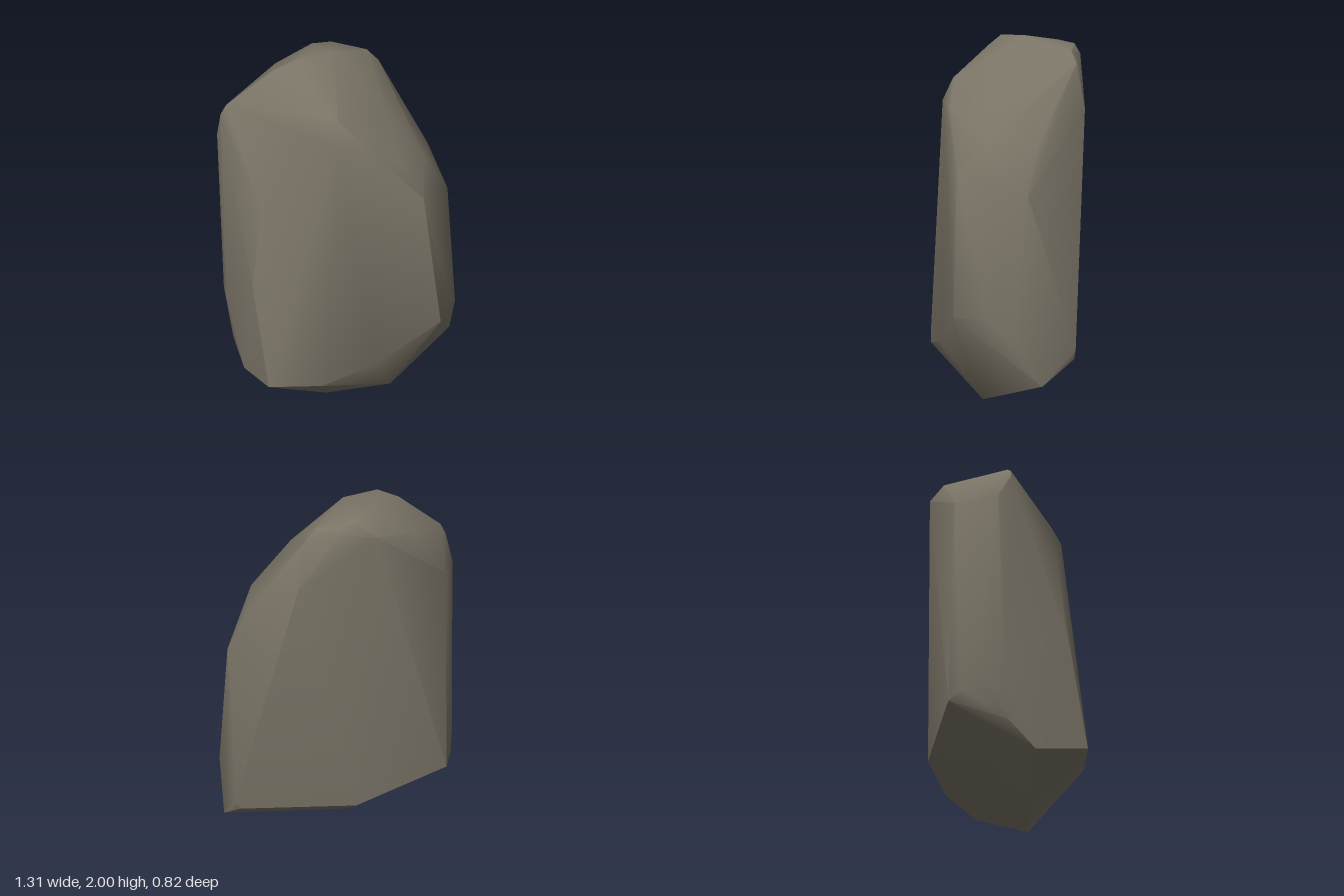
import * as THREE from 'three';
import { ConvexGeometry } from 'three/addons/geometries/ConvexGeometry.js';
import { toCreasedNormals } from 'three/addons/utils/BufferGeometryUtils.js';

// Corner points of the boulder, grouped by region
const base = [
  [-0.14, 0, 0.13], [0.23, 0.05, 0.2], [0.655, 0.235, -0.02], [-0.6, 0.22, 0.08],
  [-0.56, 0.455, -0.34], [0, 0.34, -0.372], [0.61, 0.355, -0.2], [0.635, 0.415, -0.2],
  [-0.635, 0.35, -0.06],
];
const front = [
  [-0.51, 0.27, 0.36], [-0.22, 0.26, 0.407], [0.08, 0.35, 0.407], [0.45, 0.57, 0.4],
  [0.57, 0.57, 0.24], [0.63, 0.51, 0.12], [-0.56, 0.87, 0.26], [-0.49, 1.3, 0.235],
  [-0.12, 1.65, 0.345], [0.06, 1.6, 0.34], [0.34, 1.32, 0.355], [0.22, 1.53, 0.285],
];
const sides = [
  [-0.655, 0.6, -0.08], [-0.655, 0.6, -0.2], [-0.655, 1.59, -0.11], [-0.61, 0.5, -0.28],
  [0.58, 1.2, 0.04], [0.48, 1.45, -0.04], [0.39, 1.48, 0.2], [0.31, 1.62, -0.335],
];
const back = [
  [-0.51, 1.61, -0.32], [-0.29, 1.86, -0.355], [-0.08, 1.88, -0.41], [0.1, 1.9, -0.37],
];
const crown = [
  [-0.64, 1.73, -0.04], [-0.61, 1.78, -0.035], [-0.37, 1.95, -0.01], [-0.25, 2, -0.01],
  [-0.03, 2, -0.08], [0.2, 1.92, -0.29], [0.27, 1.85, -0.3], [0.2, 1.75, 0.08],
  [-0.1, 1.975, -0.3], [0.02, 1.955, -0.36], [-0.1, 1.77, 0.29], [-0.22, 1.95, 0.06],
];

export function createModel() {
  const group = new THREE.Group();
  group.name = 'rock';
  const stone = new THREE.MeshStandardMaterial({ color: 0x7a7466 });
  stone.name = 'stone';

  // Faceted boulder with softened shallow edges
  const points = [...base, ...front, ...sides, ...back, ...crown].map((p) => new THREE.Vector3(...p));
  const hull = new ConvexGeometry(points);
  const boulder = new THREE.Mesh(toCreasedNormals(hull, 0.75), stone);
  boulder.name = 'boulder';
  group.add(boulder);
  return group;
}
